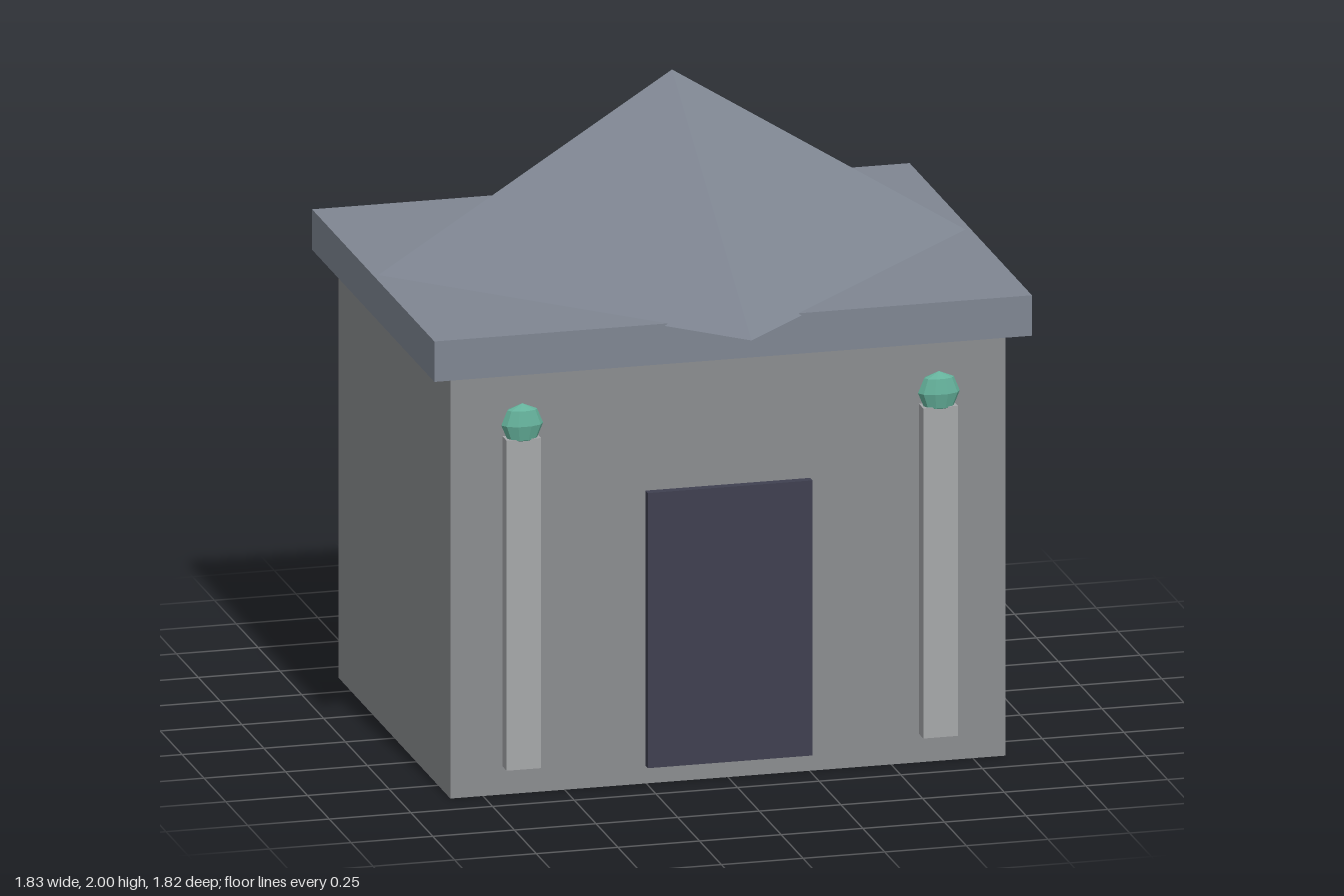
import * as THREE from 'three';

export function createModel() {
  const model = new THREE.Group();
  model.name = 'smallHouse';

  const material = (color) => new THREE.MeshStandardMaterial({ color, flatShading: true });
  const wall = material(0x8b8d90);
  const slate = material(0x7f8692);
  const stone = material(0xa6a8aa);
  const dark = material(0x3f4050);
  const green = material(0x64b09a);

  const add = (name, geometry, mat, x, y, z) => {
    const mesh = new THREE.Mesh(geometry, mat);
    mesh.name = name;
    mesh.position.set(x, y, z);
    model.add(mesh);
    return mesh;
  };
  // Box given by its width, depth and vertical span
  const addBox = (name, mat, w, d, y0, y1, x = 0, z = 0) =>
    add(name, new THREE.BoxGeometry(w, y1 - y0, d), mat, x, (y0 + y1) / 2, z);

  // Walls and the overhanging eaves slab
  addBox('walls', wall, 1.7, 1.28, 0, 1.31);
  addBox('eavesSlab', slate, 1.83, 1.4, 1.31, 1.435);

  // Four-sided roof, its corners pointing along the axes
  const base = 1.428, height = 2 - base;
  add('roof', new THREE.ConeGeometry(0.91, height, 4), slate, 0, base + height / 2, 0);

  // Door panel
  addBox('door', dark, 0.505, 0.05, 0.055, 0.905, 0, 0.642);

  // Pilasters topped by flattened lamps
  for (const side of [1, -1]) {
    const prefix = side > 0 ? 'left' : 'right';
    addBox(prefix + 'Pilaster', stone, 0.106, 0.07, 0.088, 1.108, side * 0.638, 0.655);
    const lamp = add(prefix + 'Lamp', new THREE.SphereGeometry(0.064, 10, 4), green, side * 0.638, 1.15, 0.67);
    lamp.scale.z = 0.53;
  }

  return model;
}
